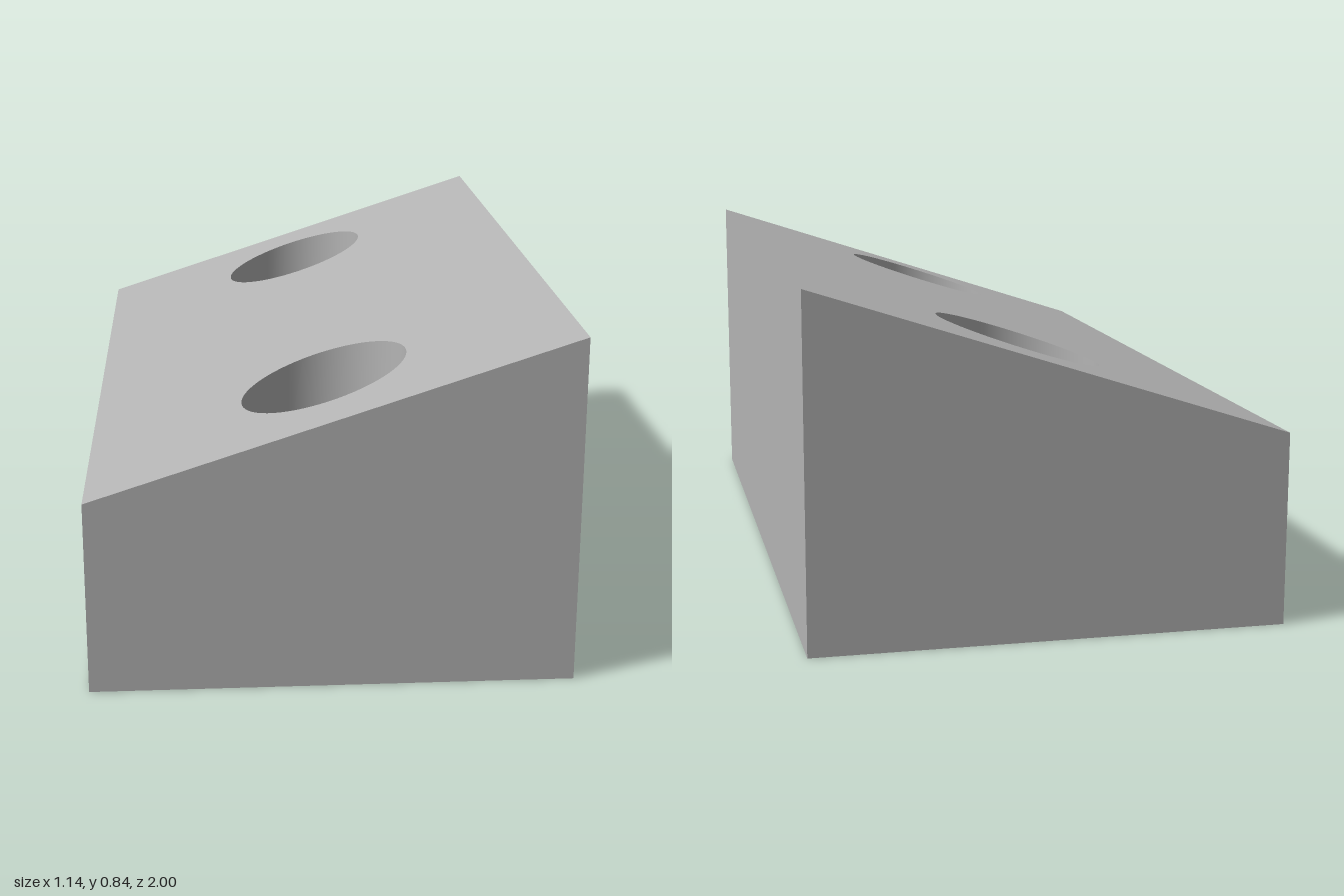
import * as THREE from 'three';

const HALF_X = 0.57, HALF_Z = 1, FLOOR = 0.2;
const HOLE_Z = [-0.65, 0.65], BORE = 0.108, COUNTERBORE = 0.2, SEGMENTS = 64;

// Heights of the base, the counterbore floors and the sloping top
const base = () => 0;
const floor = () => FLOOR;
const slope = x => 0.652 + 0.325 * x;

// Counter-clockwise outlines in plan, where plan y is -z
const rectangle = () => [[-1, -1], [1, -1], [1, 1], [-1, 1]]
  .map(([x, y]) => new THREE.Vector2(x * HALF_X, y * HALF_Z));
const circle = (r, z) => Array.from({ length: SEGMENTS }, (_, i) => {
  const a = (i / SEGMENTS) * Math.PI * 2;
  return new THREE.Vector2(r * Math.cos(a), r * Math.sin(a) - z);
});

// Face with holes, laid over a height rule and facing up or down
function cap(outline, holes, height, down = false) {
  const shape = new THREE.Shape(outline);
  shape.holes = holes.map(h => new THREE.Path(h));
  const geo = new THREE.ShapeGeometry(shape).rotateX(-Math.PI / 2);
  const pos = geo.attributes.position;
  for (let i = 0; i < pos.count; i++) pos.setY(i, height(pos.getX(i)));
  if (down) geo.index.array.reverse();
  geo.computeVertexNormals();
  return geo;
}

// Closed wall between two height rules; reversed outlines face inward
function wall(points, low, high, smooth) {
  const n = points.length, verts = [], index = [];
  points.forEach((p, i) => {
    verts.push(p.x, low(p.x), -p.y, p.x, high(p.x), -p.y);
    const a = 2 * i, b = 2 * ((i + 1) % n);
    index.push(a, b, b + 1, a, b + 1, a + 1);
  });
  let geo = new THREE.BufferGeometry();
  geo.setAttribute('position', new THREE.Float32BufferAttribute(verts, 3));
  geo.setIndex(index);
  if (!smooth) geo = geo.toNonIndexed();
  geo.computeVertexNormals();
  return geo;
}

export function createModel() {
  const group = new THREE.Group();
  group.name = 'wedgeBlock';
  const grey = new THREE.MeshStandardMaterial({ color: 0xb4b4b4 });
  grey.name = 'grey';
  const add = (name, geo) => {
    const mesh = new THREE.Mesh(geo, grey);
    mesh.name = name;
    group.add(mesh);
  };

  // Wedge body
  add('sideWalls', wall(rectangle(), base, slope, false));
  add('slopingTop', cap(rectangle(), HOLE_Z.map(z => circle(COUNTERBORE, z)), slope));
  add('underside', cap(rectangle(), HOLE_Z.map(z => circle(BORE, z)), base, true));

  // Two counterbored screw holes
  for (const z of HOLE_Z) {
    const end = z < 0 ? 'back' : 'front';
    add(end + 'Counterbore', wall(circle(COUNTERBORE, z).reverse(), floor, slope, true));
    add(end + 'CounterboreFloor', cap(circle(COUNTERBORE, z), [circle(BORE, z)], floor));
    add(end + 'ThroughHole', wall(circle(BORE, z).reverse(), base, floor, true));
  }
  return group;
}
